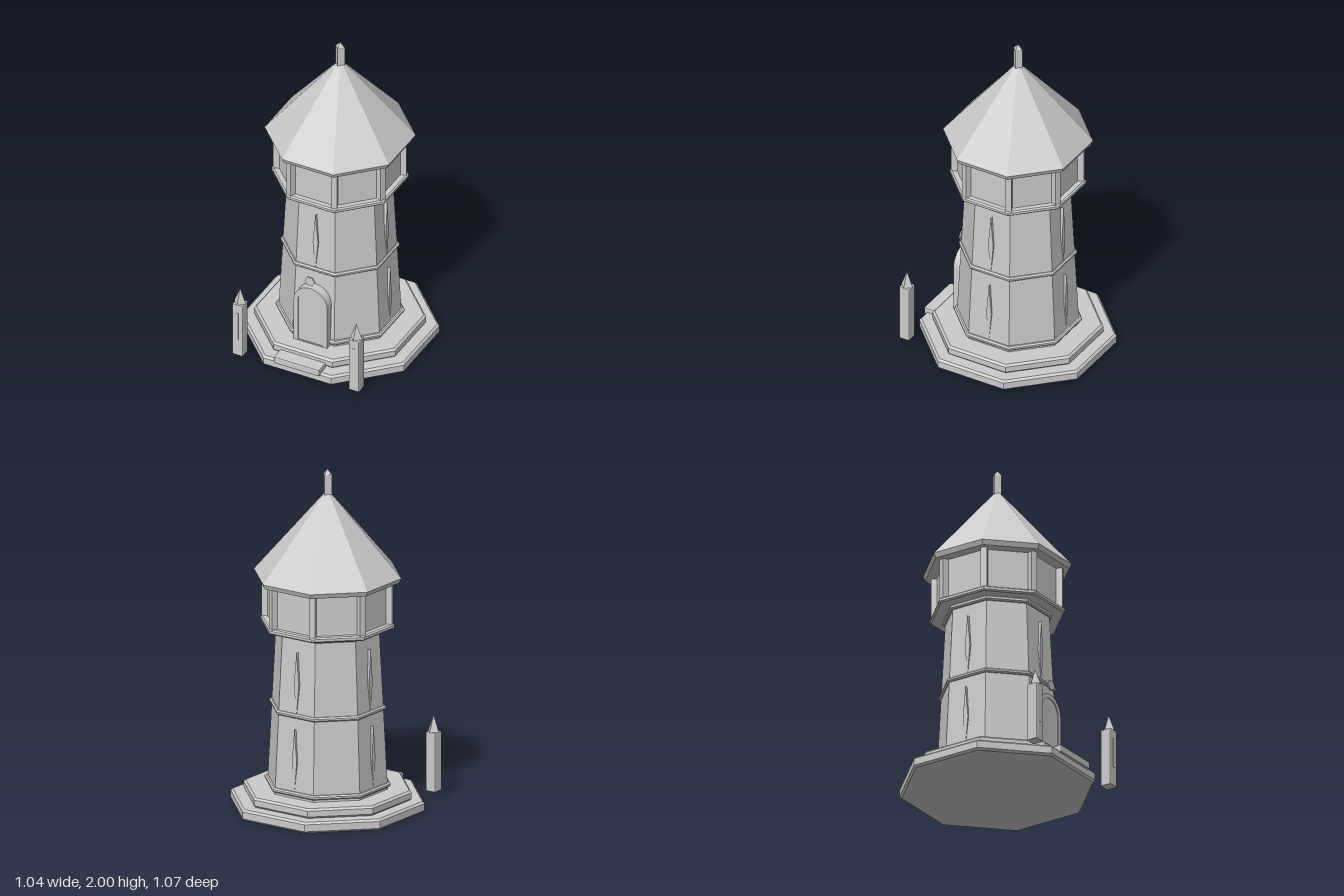
import * as THREE from 'three';
import { RoundedBoxGeometry } from 'three/addons/geometries/RoundedBoxGeometry.js';

const grey = new THREE.MeshStandardMaterial({ color: 0xcccccc, flatShading: true });
const APOTHEM = Math.cos(Math.PI / 8);

function part(parent, name, geometry, x = 0, y = 0, z = 0) {
  const mesh = new THREE.Mesh(geometry, grey);
  mesh.name = name;
  mesh.position.set(x, y, z);
  parent.add(mesh);
  return mesh;
}

// Octagonal solid with flats to the front; profile is [apothem, y], bottom to top
function octagon(profile) {
  const points = profile.map(([a, y]) => new THREE.Vector2(a / APOTHEM, y));
  return new THREE.LatheGeometry(points, 8, Math.PI / 8);
}

// Octagonal slab with chamfered rims
function slab(a, y0, y1, c = 0.008) {
  return octagon([[0, y0], [a - c, y0], [a, y0 + c], [a, y1 - c], [a - c, y1], [0, y1]]);
}

// Round-headed outline standing on y = 0
function archOutline(target, r, spring) {
  target.moveTo(-r, 0);
  target.lineTo(r, 0);
  target.lineTo(r, spring);
  target.absarc(0, spring, r, 0, Math.PI, false);
  target.lineTo(-r, 0);
  return target;
}

const extrude = (shape, depth) =>
  new THREE.ExtrudeGeometry(shape, { depth, bevelEnabled: false, curveSegments: 16 });

export function createModel() {
  const model = new THREE.Group();
  model.name = 'tower';
  const tower = new THREE.Group();
  tower.name = 'towerBody';
  tower.position.z = -0.013;
  model.add(tower);

  // Plinth, shaft and mouldings
  part(tower, 'lowerPlinth', slab(0.522, 0.005, 0.07, 0.012));
  part(tower, 'upperPlinth', slab(0.452, 0.07, 0.128, 0.012));
  part(tower, 'shaft', octagon([[0, 0.12], [0.324, 0.12], [0.277, 1.09], [0, 1.09]]));
  part(tower, 'baseMoulding', slab(0.339, 0.142, 0.168));
  part(tower, 'middleMoulding', slab(0.313, 0.596, 0.622));
  part(tower, 'neckMoulding', slab(0.293, 1.056, 1.085));
  part(tower, 'galleryFloor', slab(0.361, 1.08, 1.11));

  // Lantern room with a post at each corner
  part(tower, 'lanternWalls', octagon([[0, 1.1], [0.325, 1.1], [0.325, 1.36], [0, 1.36]]));
  for (let i = 0; i < 8; i++) {
    const angle = Math.PI / 8 + (i * Math.PI) / 4;
    const post = part(tower, 'lanternPost', new THREE.BoxGeometry(0.036, 0.26, 0.036),
      0.362 * Math.sin(angle), 1.232, 0.362 * Math.cos(angle));
    post.rotation.y = angle;
  }

  // Roof and finial
  part(tower, 'roof', octagon([[0, 1.352], [0.385, 1.352], [0.397, 1.38], [0, 1.88]]));
  part(tower, 'finialShaft', new THREE.CylinderGeometry(0.03, 0.03, 0.12, 4), 0, 1.91, 0);
  part(tower, 'finialTip', new THREE.ConeGeometry(0.03, 0.032, 4), 0, 1.984, 0);

  // Slit windows: upper row on four sides, lower row on all but the door side
  const slit = new THREE.Shape([[0, -0.19], [0.017, 0], [0, 0.19], [-0.017, 0]]
    .map(([x, y]) => new THREE.Vector2(x, y)));
  const slitGeometry = extrude(slit, 0.04);
  for (let side = 0; side < 4; side++) {
    const group = new THREE.Group();
    group.name = 'windowSide';
    group.rotation.y = (side * Math.PI) / 2;
    tower.add(group);
    part(group, 'upperWindow', slitGeometry, 0, 0.793, 0.262);
    if (side > 0) part(group, 'lowerWindow', slitGeometry, 0, 0.343, 0.282);
  }

  // Arched doorway, round plaque and doorstep
  const frame = archOutline(new THREE.Shape(), 0.107, 0.275);
  frame.holes.push(archOutline(new THREE.Path(), 0.08, 0.275));
  // The hole meets the threshold, so lift it slightly to keep a thin sill
  frame.holes[0] = new THREE.Path(frame.holes[0].getPoints(16)
    .map((p) => new THREE.Vector2(p.x, Math.max(p.y, 0.006))));
  part(model, 'doorFrame', extrude(frame, 0.07), 0, 0.128, 0.279);
  part(model, 'door', extrude(archOutline(new THREE.Shape(), 0.081, 0.275), 0.065), 0, 0.128, 0.279);
  const plaque = part(model, 'doorPlaque', new THREE.CylinderGeometry(0.032, 0.032, 0.009, 6), 0, 0.565, 0.354);
  plaque.rotation.set(Math.PI / 2, Math.PI / 6, 0);
  part(model, 'doorstep', new RoundedBoxGeometry(0.292, 0.045, 0.088, 1, 0.008), 0, 0.075, 0.478);

  // Free-standing gate posts
  for (const side of [-1, 1]) {
    const gate = new THREE.Group();
    gate.name = side > 0 ? 'leftGatePost' : 'rightGatePost';
    gate.position.set(side * 0.372, 0, 0.497);
    model.add(gate);
    part(gate, 'postBody', new RoundedBoxGeometry(0.068, 0.352, 0.068, 1, 0.008), 0, 0.211, 0);
    part(gate, 'postCap', new THREE.ConeGeometry(0.038, 0.1, 4), 0, 0.435, 0);
    part(gate, 'postStrip', new THREE.BoxGeometry(0.014, 0.18, 0.008), 0, 0.24, 0.033);
  }
  return model;
}
